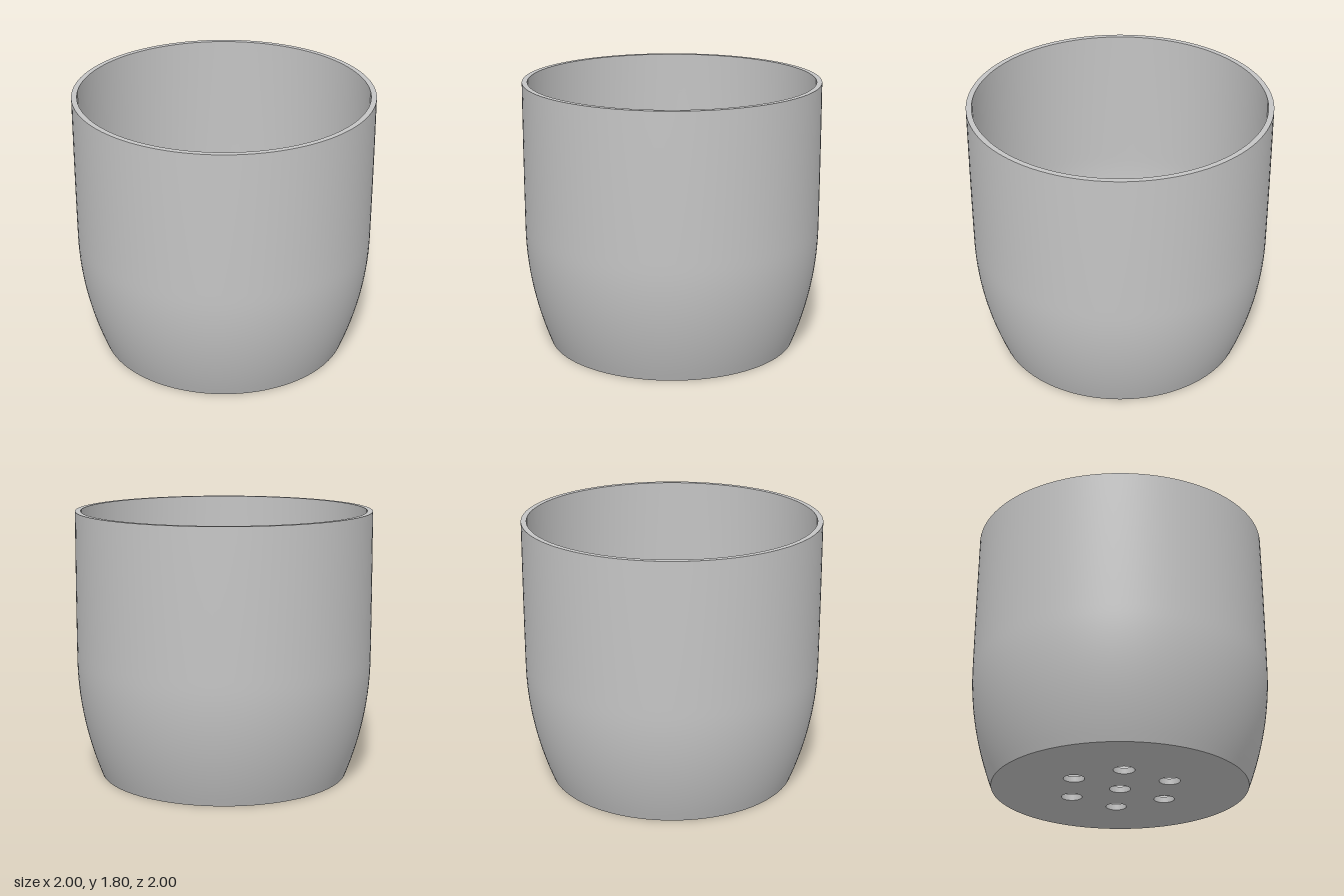
import * as THREE from 'three';
import { toCreasedNormals } from 'three/addons/utils/BufferGeometryUtils.js';

const HEIGHT = 1.8, WALL = 0.036, FLOOR = 0.04, SEGMENTS = 128;

// Outer radius: flares from the foot, widest near the middle, slightly tapered to the rim
function outerRadius(y) {
  if (y < 0.8) return 1 - 0.155 * ((0.8 - y) / 0.8) ** 2;
  return 1 - 0.006 * ((y - 0.8) / 1.0) ** 2;
}

// Wall profile from y0 to y1, moved inwards by inset
function profile(y0, y1, inset) {
  const points = [];
  for (let i = 0; i <= 32; i++) {
    const y = y0 + (y1 - y0) * i / 32;
    points.push(new THREE.Vector2(outerRadius(y) - inset, y));
  }
  return points;
}

export function createModel() {
  const group = new THREE.Group();
  group.name = 'drainagePot';
  const grey = new THREE.MeshStandardMaterial({ color: 0xc4c4c4 });
  grey.name = 'light grey';

  function add(name, geometry) {
    const mesh = new THREE.Mesh(geometry, grey);
    mesh.name = name;
    group.add(mesh);
  }

  // Walls and rim as separate lathes, so the rim edges stay sharp
  const top = outerRadius(HEIGHT);
  add('outerWall', new THREE.LatheGeometry(profile(0, HEIGHT, 0), SEGMENTS));
  add('rim', new THREE.LatheGeometry(
    [new THREE.Vector2(top, HEIGHT), new THREE.Vector2(top - WALL, HEIGHT)], SEGMENTS));
  add('innerWall', new THREE.LatheGeometry(profile(HEIGHT, FLOOR, WALL), SEGMENTS));

  // Floor with one central drain hole and a ring of six
  const disc = new THREE.Shape().absarc(0, 0, outerRadius(0), 0, Math.PI * 2);
  const addHole = (x, y) =>
    disc.holes.push(new THREE.Path().absarc(x, y, 0.069, 0, Math.PI * 2, true));
  addHole(0, 0);
  for (let i = 0; i < 6; i++) {
    const a = i * Math.PI / 3;
    addHole(0.357 * Math.cos(a), 0.357 * Math.sin(a));
  }
  const floor = new THREE.ExtrudeGeometry(disc, { depth: FLOOR, bevelEnabled: false, curveSegments: 64 });
  floor.rotateX(-Math.PI / 2);
  add('floor', toCreasedNormals(floor, 0.6));

  return group;
}
